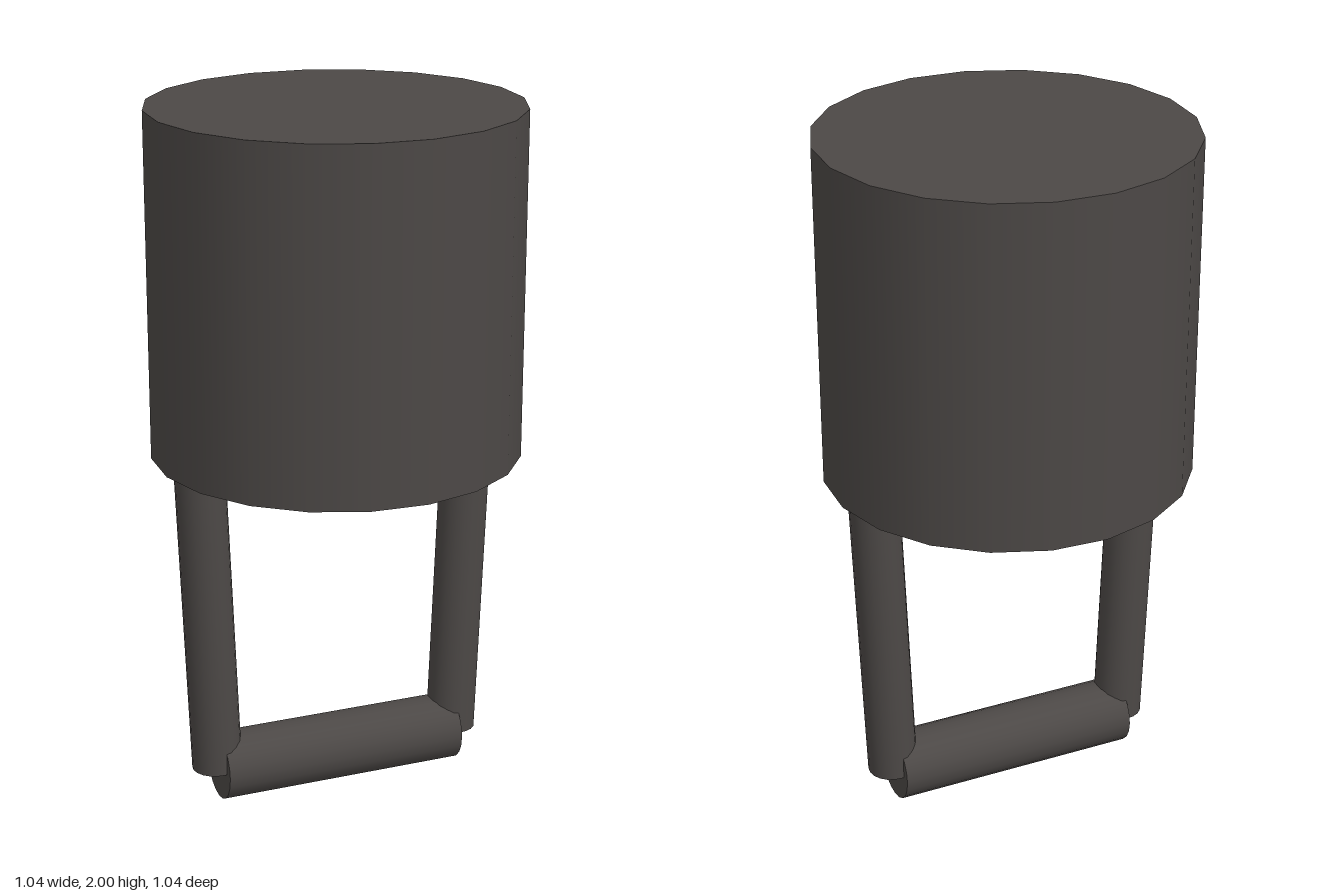
import * as THREE from 'three';

const darkGrey = new THREE.MeshStandardMaterial({ color: 0x4c4846 });
darkGrey.name = 'darkGrey';

// Smooth 20-sided rod between two points
function rod(name, from, to, radius) {
  const axis = to.clone().sub(from);
  const mesh = new THREE.Mesh(new THREE.CylinderGeometry(radius, radius, axis.length(), 20), darkGrey);
  mesh.name = name;
  mesh.position.copy(from).add(to).multiplyScalar(0.5);
  mesh.quaternion.setFromUnitVectors(new THREE.Vector3(0, 1, 0), axis.normalize());
  return mesh;
}

export function createModel() {
  const group = new THREE.Group();
  group.name = 'drumWithHandle';

  // Drum
  group.add(rod('drum', new THREE.Vector3(0, 1.023, 0), new THREE.Vector3(0, 2, 0), 0.522));

  // Handle lies in a vertical plane turned 30 degrees about y
  const handle = new THREE.Group();
  handle.name = 'handle';
  handle.rotation.y = Math.PI / 6;
  for (const s of [-1, 1]) {
    handle.add(rod(s < 0 ? 'rightArm' : 'leftArm',
      new THREE.Vector3(s * 0.37, 0.1, 0), new THREE.Vector3(s * 0.407, 1.03, 0), 0.072));
  }
  handle.add(rod('gripBar', new THREE.Vector3(-0.365, 0.098, 0), new THREE.Vector3(0.365, 0.098, 0), 0.098));
  group.add(handle);
  return group;
}
